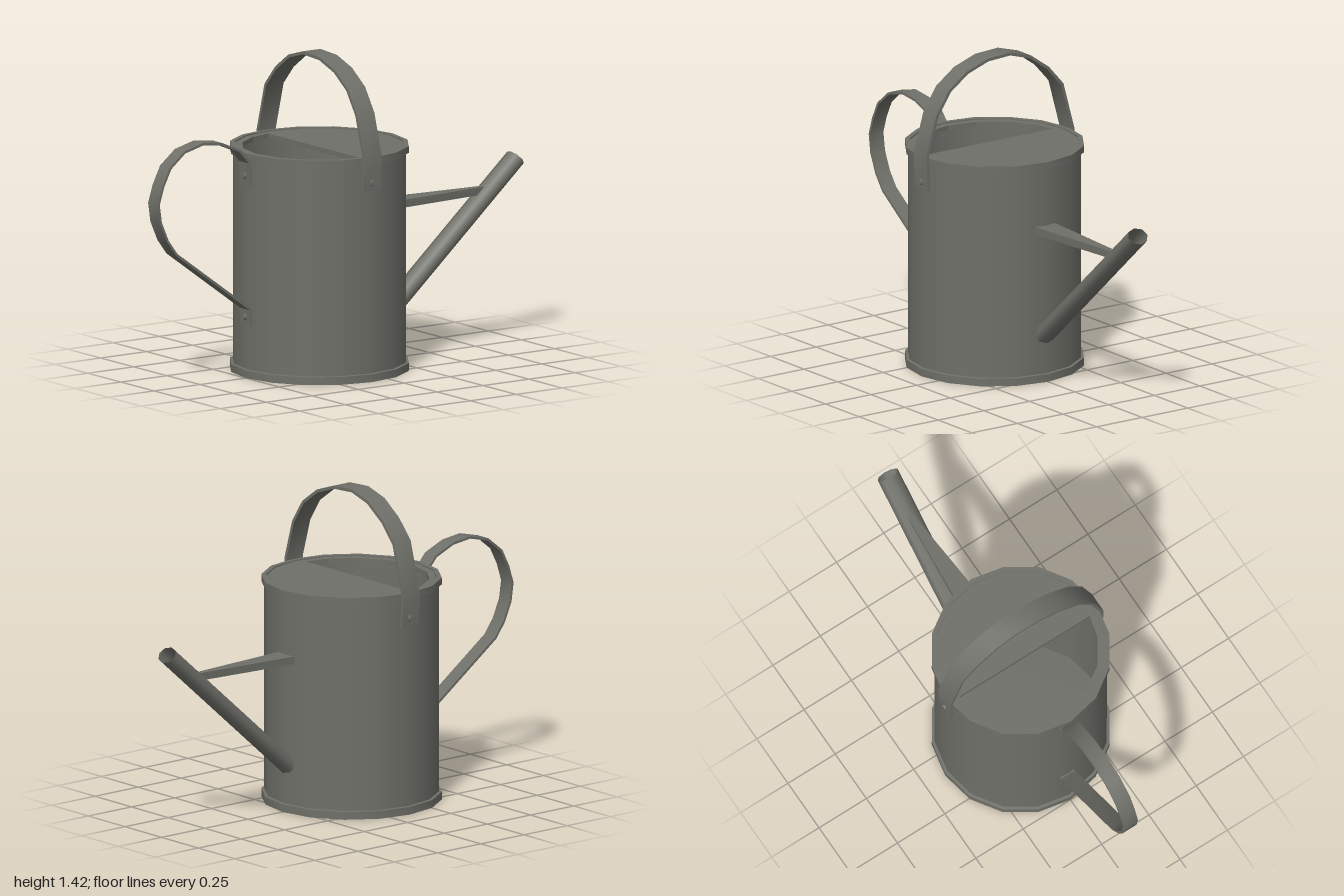
import * as THREE from 'three';
import { toCreasedNormals } from 'three/addons/utils/BufferGeometryUtils.js';

const SIDES = 16;
const CZ = 0.1; // z of the can's axis

export function createModel() {
  const model = new THREE.Group();
  model.name = 'wateringCan';
  const metal = new THREE.MeshStandardMaterial({ color: 0x70706a, side: THREE.DoubleSide });
  metal.name = 'dull grey metal';

  const add = (name, geometry, x = 0, y = 0, z = 0) => {
    const mesh = new THREE.Mesh(geometry, metal);
    mesh.name = name;
    mesh.position.set(x, y, z);
    model.add(mesh);
    return mesh;
  };
  const ring = (profile) => toCreasedNormals(
    new THREE.LatheGeometry(profile.map(([r, y]) => new THREE.Vector2(r, y)), SIDES), 0.6);

  // Flat strap following a path, thickened towards the path's right-hand side
  const strap = (path, width, thickness) => {
    const pts = path.map(([x, y]) => new THREE.Vector2(x, y));
    const inner = pts.map((p, i) => {
      const t = pts[Math.min(i + 1, pts.length - 1)].clone().sub(pts[Math.max(i - 1, 0)]).normalize();
      return new THREE.Vector2(p.x + t.y * thickness, p.y - t.x * thickness);
    });
    const shape = new THREE.Shape([...pts, ...inner.reverse()]);
    const geo = new THREE.ExtrudeGeometry(shape, { depth: width, bevelEnabled: false });
    return toCreasedNormals(geo, 0.6);
  };

  // Body wall, floor and rims
  add('body', new THREE.CylinderGeometry(0.387, 0.387, 0.97, SIDES, 1, true), 0, 0.505, CZ);
  add('bottomRim', ring([[0, 0], [0.4, 0], [0.4, 0.035], [0.385, 0.037], [0, 0.037]]), 0, 0, CZ);
  add('topRim', ring([[0.384, 0.98], [0.4, 0.98], [0.4, 1.01], [0.378, 1.01], [0.378, 0.985]]), 0, 0, CZ);

  // Top plate covering the back half, with a narrow ledge round the opening
  const disc = [];
  for (let i = 0; i < SIDES; i++) {
    const a = (i / SIDES) * Math.PI * 2;
    disc.push(new THREE.Vector2(0.383 * Math.cos(a), 0.383 * Math.sin(a)));
  }
  const plate = new THREE.Shape(disc);
  const opening = [];
  const start = Math.asin(0.03 / 0.345);
  for (let i = 0; i <= 8; i++) {
    const a = i === 0 ? start : i === 8 ? Math.PI - start : (i / 8) * Math.PI;
    opening.push(new THREE.Vector2(0.345 * Math.cos(a), 0.345 * Math.sin(a)));
  }
  plate.holes.push(new THREE.Path(opening));
  const plateGeo = new THREE.ExtrudeGeometry(plate, { depth: 0.02, bevelEnabled: false });
  plateGeo.rotateX(Math.PI / 2);
  add('topPlate', plateGeo, 0, 1.004, CZ);

  // Carrying hoop over the top
  add('carryHandle', strap([
    [-0.4, 0.86], [-0.406, 1.01], [-0.345, 1.23], [-0.265, 1.32], [-0.165, 1.39], [-0.055, 1.422],
    [0.07, 1.415], [0.185, 1.375], [0.283, 1.305], [0.353, 1.2], [0.406, 1.02], [0.4, 0.86],
  ], 0.095, 0.014), 0, 0, 0.055);

  // Curved pouring handle on the front
  const grip = strap([
    [0.488, 0.87], [0.494, 0.975], [0.55, 1.038], [0.65, 1.08], [0.75, 1.092], [0.855, 1.065],
    [0.935, 1.0], [0.975, 0.92], [1.0, 0.84], [0.988, 0.755], [0.95, 0.668], [0.9, 0.6],
    [0.5, 0.31], [0.497, 0.235],
  ].map(([z, y]) => [z, y]), 0.073, 0.011);
  grip.rotateY(-Math.PI / 2);
  add('pouringHandle', grip, 0.028, 0, 0);

  // Handle fixing pads and rivets
  const rivet = new THREE.CylinderGeometry(0.013, 0.016, 0.014, 6);
  for (const y of [0.91, 0.275]) {
    add('handlePad', new THREE.BoxGeometry(0.073, 0.078, 0.014), -0.0085, y, 0.49);
    add('handleRivet', rivet, -0.0085, y, 0.502).rotation.x = Math.PI / 2;
  }
  for (const s of [-1, 1]) {
    add('hoopRivet', rivet, s * 0.404, 0.895, CZ).rotation.z = -s * Math.PI / 2;
  }

  // Open spout, slanting up and back
  const from = new THREE.Vector3(0, 0.208, -0.27);
  const to = new THREE.Vector3(0, 0.825, -0.968);
  const spout = new THREE.CylinderGeometry(1, 1, from.distanceTo(to), 8, 1, true);
  spout.scale(0.052, 1, 0.041);
  spout.rotateX(-Math.atan2(from.z - to.z, to.y - from.y));
  const mid = from.clone().add(to).multiplyScalar(0.5);
  add('spout', spout, mid.x, mid.y, mid.z);

  // Tapered brace between body and spout
  const brace = new THREE.BoxGeometry(1, 0.035, 0.53);
  const p = brace.attributes.position;
  for (let i = 0; i < p.count; i++) {
    const outer = p.getZ(i) < 0;
    p.setX(i, Math.sign(p.getX(i)) * (outer ? 0.012 : 0.055));
    if (outer && p.getY(i) < 0) p.setZ(i, p.getZ(i) + 0.035);
  }
  brace.computeVertexNormals();
  add('spoutBrace', brace, 0, 0.698, -0.535);

  return model;
}
